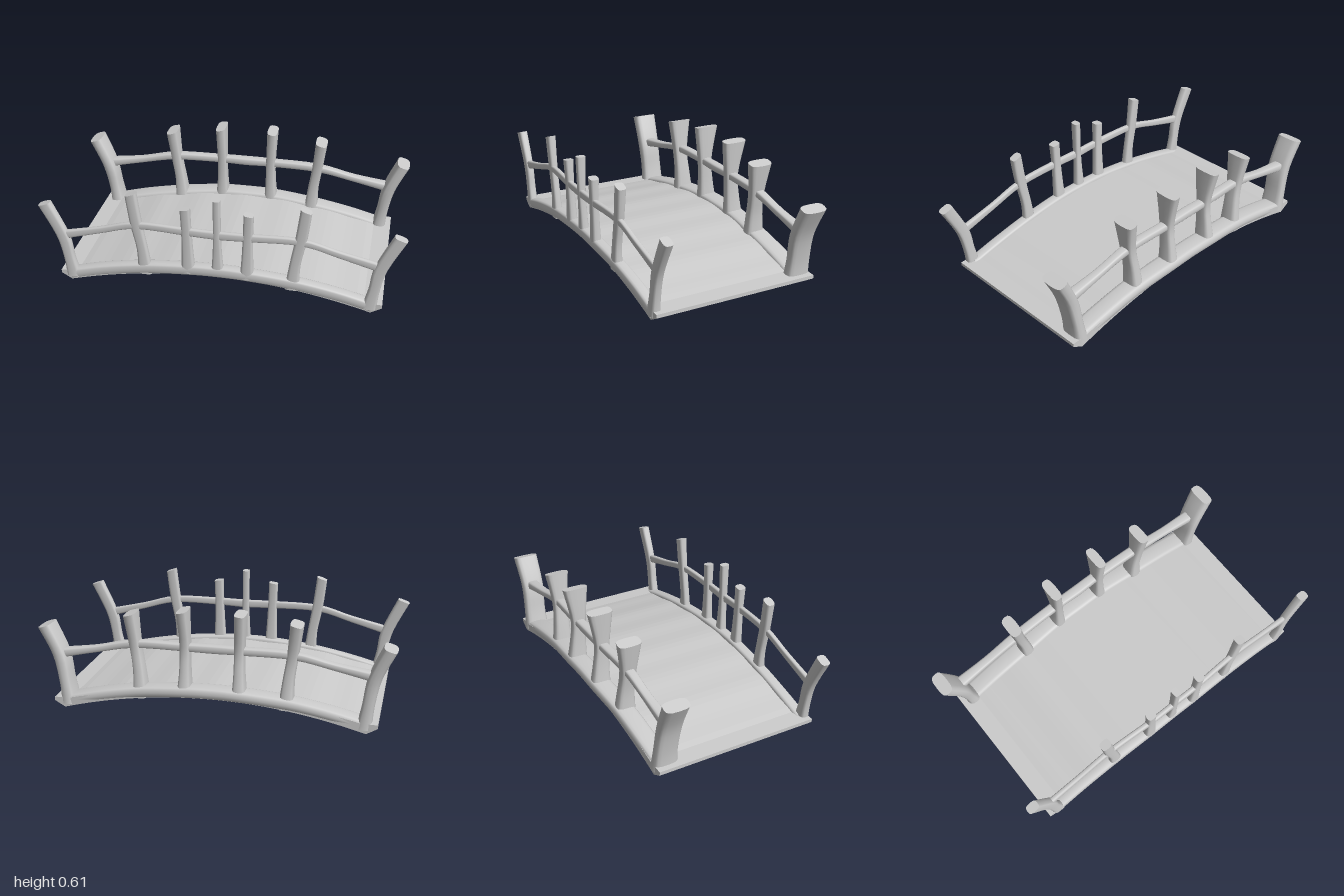
import * as THREE from 'three';

const grey = new THREE.MeshStandardMaterial({ color: 0xcccccc });
const SIDES = 16;

// Smoothly resample a list of numeric sections.
function resample(sections, steps) {
  const out = [];
  const n = sections.length - 1;
  for (let s = 0; s <= n * steps; s++) {
    const i = Math.min(Math.floor(s / steps), n - 1);
    const t = s / steps - i;
    const [a, b, c, d] = [i - 1, i, i + 1, i + 2].map(k => sections[Math.max(0, Math.min(n, k))]);
    out.push(b.map((p1, k) => {
      const m1 = (c[k] - a[k]) / 2, m2 = (d[k] - p1) / 2;
      return p1 + m1 * t + (3 * (c[k] - p1) - 2 * m1 - m2) * t * t + (2 * (p1 - c[k]) + m1 + m2) * t ** 3;
    }));
  }
  return out;
}

// Skin soft-cornered rings; place(section, u, v) gives each point, u and v in -1..1.
function loft(name, sections, place, steps = 4) {
  const soft = v => Math.sign(v) * Math.abs(v) ** 0.6;
  const rings = resample(sections, steps).map(s => Array.from({ length: SIDES }, (_, j) => {
    const a = j / SIDES * Math.PI * 2;
    return place(s, soft(Math.cos(a)), soft(Math.sin(a)));
  }));
  const pos = rings.flat(2), index = [];
  for (let i = 0; i < rings.length - 1; i++) {
    for (let j = 0; j < SIDES; j++) {
      const a = i * SIDES + j, b = i * SIDES + (j + 1) % SIDES;
      index.push(a, b, b + SIDES, a, b + SIDES, a + SIDES);
    }
  }
  // flat end caps with their own vertices
  [rings[0], rings[rings.length - 1]].forEach((ring, end) => {
    const base = pos.length / 3;
    pos.push(...ring.flat());
    for (let j = 1; j < SIDES - 1; j++) {
      index.push(base, base + (end ? j : j + 1), base + (end ? j + 1 : j));
    }
  });
  const geo = new THREE.BufferGeometry();
  geo.setAttribute('position', new THREE.Float32BufferAttribute(pos, 3));
  geo.setIndex(index);
  geo.computeVertexNormals();
  const mesh = new THREE.Mesh(geo, grey);
  mesh.name = name;
  return mesh;
}

// Upright post, sections [x, y, z, halfX, halfZ, tilt]; side mirrors it in x.
const post = (name, sections, side = 1) => loft(name,
  sections.map(([x, y, z, hx, hz, t = 0]) => [x * side, y, z, hx, hz, t * side]),
  ([x, y, z, hx, hz, t], u, v) => [x + v * hx, y + t * v * hx, z + u * hz]);

// Lengthwise bar, half of its sections [x, y, z, halfY, halfZ] given from the centre out.
function bar(name, half) {
  const mirrored = half.slice(1).reverse().map(([x, ...rest]) => [-x, ...rest]);
  return loft(name, [...mirrored, ...half],
    ([x, y, z, hy, hz], u, v) => [x, y + u * hy, z + v * hz]);
}

// Arched deck with thin lips at both ends.
function deck() {
  const top = x => 0.163 - 0.165 * x * x + 0.0025 * Math.cos(x * 24);
  const under = x => 0.12 - 0.17 * x * x;
  const N = 40, shape = new THREE.Shape();
  shape.moveTo(-0.9, 0.035);
  for (let i = 0; i <= N; i++) {
    const x = -0.84 + 1.68 * i / N;
    shape.lineTo(x, Math.max(0, under(x)));
  }
  shape.lineTo(0.9, 0.035);
  shape.lineTo(0.9, 0.055);
  for (let i = 0; i <= N; i++) {
    const x = 0.8 - 1.6 * i / N;
    shape.lineTo(x, top(x));
  }
  shape.lineTo(-0.9, 0.055);
  const geo = new THREE.ExtrudeGeometry(shape, { depth: 0.945, bevelEnabled: false });
  geo.translate(0, 0, -0.47);
  const mesh = new THREE.Mesh(geo, grey);
  mesh.name = 'deck';
  return mesh;
}

export function createModel() {
  const model = new THREE.Group();
  model.add(deck());

  // curbs along both edges
  const curb = (name, zs, hz) => bar(name, [0, 0.17, 0.42, 0.65, 0.84].map((x, i) =>
    [x, 0.151 - 0.17 * x * x, zs[i], 0.032, hz]));
  model.add(curb('frontCurb', [0.456, 0.456, 0.45, 0.446, 0.446], 0.034));
  model.add(curb('backCurb', [-0.433, -0.433, -0.42, -0.415, -0.41], 0.058));

  // handrails
  model.add(bar('frontRail', [
    [0, 0.386, 0.472, 0.024, 0.015], [0.17, 0.39, 0.472, 0.022, 0.015],
    [0.45, 0.39, 0.46, 0.02, 0.015], [0.66, 0.335, 0.457, 0.02, 0.014], [0.88, 0.278, 0.455, 0.026, 0.016]]));
  model.add(bar('backRail', [
    [0, 0.39, -0.41, 0.024, 0.03], [0.16, 0.39, -0.412, 0.022, 0.028],
    [0.44, 0.385, -0.405, 0.022, 0.028], [0.66, 0.34, -0.405, 0.02, 0.026], [0.88, 0.3, -0.405, 0.028, 0.035]]));

  // posts, flaring at foot and head and leaning outwards
  model.add(post('frontCentrePost', [
    [0, 0.13, 0.46, 0.036, 0.026], [0, 0.26, 0.464, 0.025, 0.022],
    [0, 0.4, 0.468, 0.02, 0.022], [0, 0.6, 0.469, 0.02, 0.026]]));
  for (const side of [-1, 1]) {
    model.add(post('frontInnerPost', [
      [0.162, 0.13, 0.462, 0.038, 0.028], [0.165, 0.26, 0.465, 0.031, 0.023],
      [0.168, 0.4, 0.468, 0.027, 0.022], [0.172, 0.53, 0.47, 0.027, 0.026, -0.15]], side));
    model.add(post('frontOuterPost', [
      [0.41, 0.09, 0.455, 0.04, 0.026], [0.422, 0.24, 0.455, 0.03, 0.022],
      [0.45, 0.4, 0.455, 0.032, 0.022], [0.472, 0.58, 0.455, 0.03, 0.026, -0.35]], side));
    model.add(post('frontEndPost', [
      [0.83, 0.02, 0.455, 0.04, 0.027], [0.85, 0.14, 0.455, 0.031, 0.024],
      [0.878, 0.28, 0.455, 0.036, 0.024], [0.966, 0.47, 0.455, 0.034, 0.027, -0.35]], side));
    model.add(post('backInnerPost', [
      [0.152, 0.13, -0.43, 0.04, 0.058], [0.15, 0.26, -0.42, 0.03, 0.045],
      [0.15, 0.4, -0.412, 0.028, 0.042], [0.157, 0.6, -0.422, 0.03, 0.072, -0.15]], side));
    model.add(post('backOuterPost', [
      [0.405, 0.09, -0.41, 0.042, 0.06], [0.415, 0.24, -0.405, 0.032, 0.046],
      [0.435, 0.38, -0.4, 0.031, 0.044], [0.455, 0.56, -0.403, 0.034, 0.068, -0.25]], side));
    model.add(post('backEndPost', [
      [0.825, 0.02, -0.405, 0.042, 0.07], [0.842, 0.14, -0.405, 0.034, 0.064],
      [0.872, 0.3, -0.4, 0.038, 0.066], [0.945, 0.465, -0.406, 0.036, 0.071, -0.3]], side));
  }
  return model;
}
